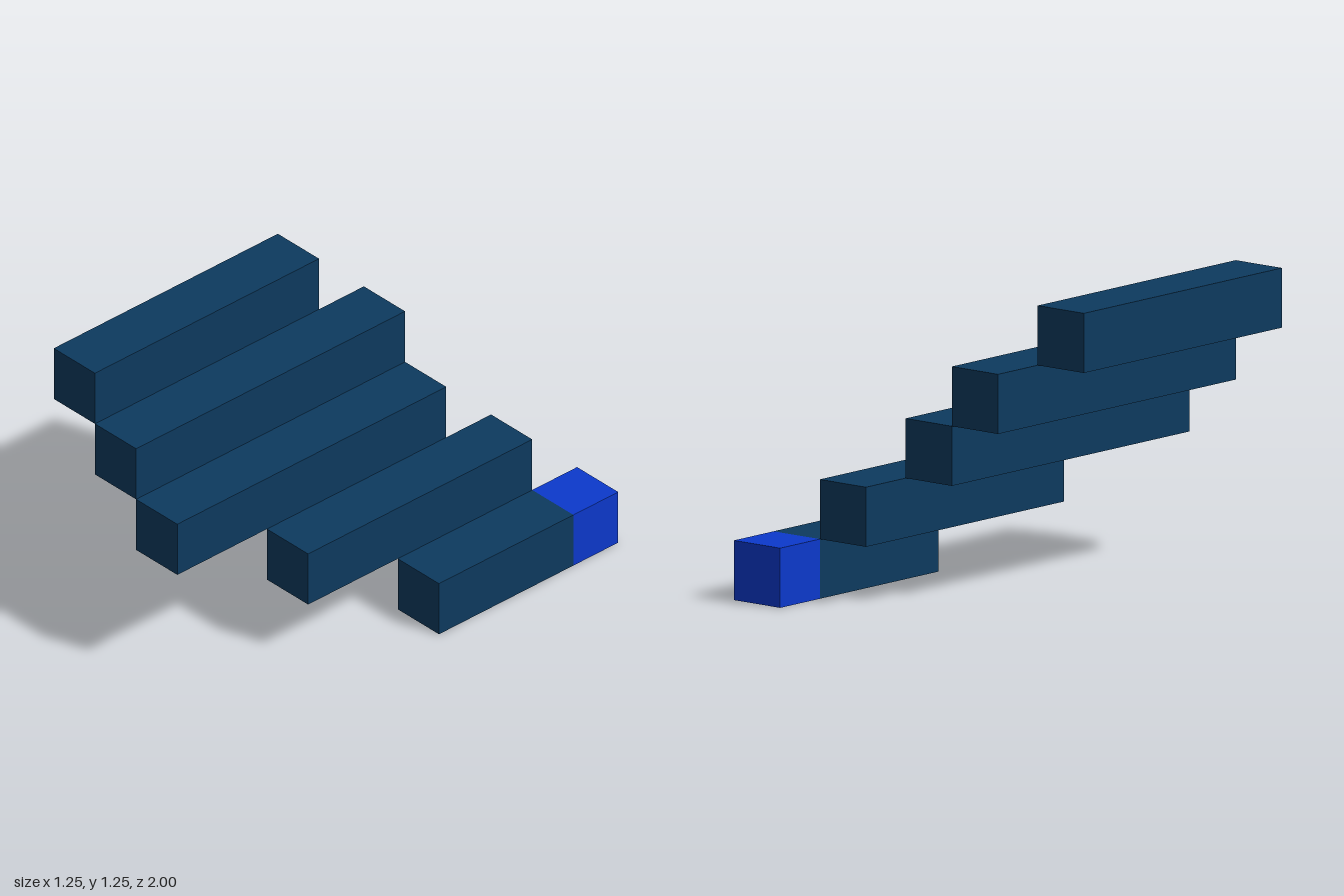
import * as THREE from 'three';

export function createModel() {
  const model = new THREE.Group();
  model.name = 'steppedBeams';
  const navy = new THREE.MeshStandardMaterial({ color: 0x0d3a5f });
  navy.name = 'navy';
  const blue = new THREE.MeshStandardMaterial({ color: 0x0c39cc });
  blue.name = 'bright blue';

  const SIZE = 0.25; // square section of every beam

  // One beam on a given step, running from zBack to zFront
  function addBeam(name, step, zBack, zFront, material) {
    const beam = new THREE.Mesh(new THREE.BoxGeometry(SIZE, SIZE, zFront - zBack), material);
    beam.name = name;
    beam.position.set(0.5 - step * SIZE, (step + 0.5) * SIZE, (zBack + zFront) / 2);
    model.add(beam);
  }

  // Beams climb from the lowest at +x to the highest at -x
  const spans = [[-0.75, 0], [-0.75, 0.5], [-0.5, 1], [-0.5, 1], [-0.25, 1]];
  spans.forEach(([zBack, zFront], step) => addBeam(`beam${step + 1}`, step, zBack, zFront, navy));

  // Bright cube ending the lowest beam
  addBeam('endCube', 0, -1, -0.75, blue);

  return model;
}
